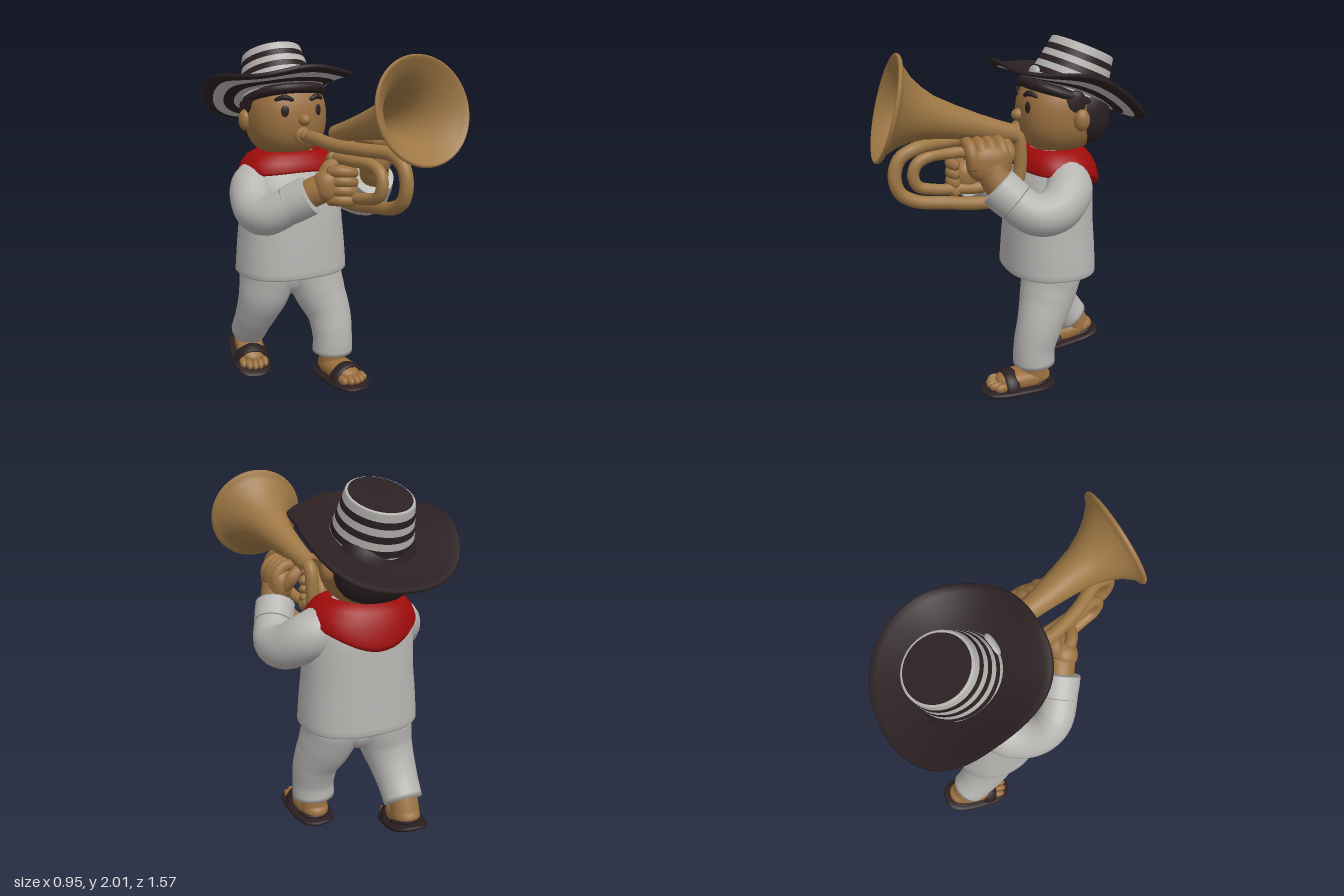
import * as THREE from 'three';
import { mergeVertices } from 'three/addons/utils/BufferGeometryUtils.js';

const material = (name, color, side = THREE.FrontSide) => {
  const m = new THREE.MeshStandardMaterial({ color, side });
  m.name = name;
  return m;
};
const V = (a) => new THREE.Vector3(...a);
// factor that turns a circle in the ground plane into a rounded square
const square = (v, p) => Math.hypot(v.x, v.z) / ((Math.abs(v.x) ** p + Math.abs(v.z) ** p) ** (1 / p) || 1);

export function createModel() {
  const cloth = material('white cloth', 0xb6b4b1, THREE.DoubleSide);
  const skin = material('skin', 0x9a7040);
  const brass = material('brass', 0x9e7744, THREE.DoubleSide);
  const dark = material('dark brown', 0x2b1f21, THREE.DoubleSide);
  const red = material('red scarf', 0x9e0b0b, THREE.DoubleSide);
  const model = new THREE.Group();

  const add = (parent, name, geo, mat, pos = [0, 0, 0]) => {
    const m = new THREE.Mesh(geo, mat);
    m.name = name;
    m.position.set(...pos);
    parent.add(m);
    return m;
  };
  // weld seams and smooth
  const smooth = (geo) => {
    geo.deleteAttribute('uv');
    geo.deleteAttribute('normal');
    const g = mergeVertices(geo, 1e-5);
    g.computeVertexNormals();
    return g;
  };
  const bend = (geo, rule) => {
    const p = geo.attributes.position, v = new THREE.Vector3();
    for (let i = 0; i < p.count; i++) {
      rule(v.fromBufferAttribute(p, i), i);
      p.setXYZ(i, v.x, v.y, v.z);
    }
    return geo;
  };
  // rounded, slightly boxy ellipsoid
  const blob = (parent, name, mat, pos, rad, p = 2.5) => {
    const geo = bend(new THREE.SphereGeometry(1, 32, 20), (v) => {
      const n = Math.pow(Math.abs(v.x) ** p + Math.abs(v.y) ** p + Math.abs(v.z) ** p, 1 / p);
      v.divideScalar(n).multiply(V(rad));
    });
    return add(parent, name, smooth(geo), mat, pos);
  };
  // tube of changing radius through [x, y, z, radius], closed at both ends
  const limb = (parent, name, mat, pts, seg = 28, radial = 20) => {
    const curve = new THREE.CatmullRomCurve3(pts.map((q) => new THREE.Vector3(q[0], q[1], q[2])));
    const geo = bend(new THREE.TubeGeometry(curve, seg, 1, radial), (v, k) => {
      const i = Math.floor(k / (radial + 1));
      const c = curve.getPointAt(i / seg);
      const t = curve.getUtoTmapping(i / seg) * (pts.length - 1);
      const a = Math.min(Math.floor(t), pts.length - 2);
      const r = THREE.MathUtils.lerp(pts[a][3], pts[a + 1][3], t - a);
      v.sub(c).multiplyScalar(i === 0 || i === seg ? 0.001 : r).add(c);
    });
    return add(parent, name, smooth(geo), mat);
  };
  const lathe = (pts, seg = 48) => new THREE.LatheGeometry(pts.map((q) => new THREE.Vector2(...q)), seg);

  // shirt, its chest sloping back towards the neck
  const shirt = bend(lathe([[0, .7], [.3, .69], [.322, .68], [.331, .69], [.33, .72], [.32, .85], [.305, 1], [.3, 1.15],
    [.285, 1.25], [.25, 1.32], [.19, 1.37], [.1, 1.4], [0, 1.4]]), (v) => {
    const s = square(v, 2.4);
    v.x *= s;
    v.z *= s * .79 * (v.z > 0 ? 1 - .35 * Math.max(0, (v.y - 1.1) / .3) : 1);
  });
  add(model, 'shirt', smooth(shirt), cloth, [-.04, 0, -.235]);

  // trousers
  blob(model, 'trouserSeat', cloth, [-.035, .67, -.255], [.13, .155, .135], 2.2);
  limb(model, 'leftTrouserLeg', cloth, [[.1, .74, -.225, .17], [.1, .65, -.21, .172], [.125, .53, -.175, .157],
    [.16, .4, -.125, .132], [.166, .26, -.09, .12], [.165, .14, -.09, .122]]);
  limb(model, 'rightTrouserLeg', cloth, [[-.17, .74, -.275, .17], [-.175, .65, -.28, .17], [-.195, .53, -.295, .152],
    [-.212, .42, -.345, .13], [-.22, .32, -.41, .115], [-.22, .22, -.49, .108]]);

  // sandalled feet
  const foot = (name, pos, pitch, yaw) => {
    const g = new THREE.Group();
    g.name = name;
    g.position.set(...pos);
    g.rotation.set(pitch, yaw, 0);
    model.add(g);
    blob(g, 'sole', dark, [0, .023, 0], [.117, .023, .22], 3);
    blob(g, 'footBody', skin, [0, .075, -.03], [.085, .055, .165]);
    limb(g, 'ankle', skin, [[0, .06, -.1, .08], [0, .12, -.095, .08], [0, .2, -.085, .08]], 12);
    for (let i = 0; i < 5; i++) {
      const x = -.068 + i * .034;
      blob(g, 'toe', skin, [x, .06, .15 - x * x * 6], [.021, .026, .042], 2);
    }
    const strap = new THREE.TorusGeometry(.083, .014, 10, 24, Math.PI).scale(1.12, 1.1, 2.9);
    add(g, 'strap', strap, dark, [0, .03, .06]);
    const heel = new THREE.TorusGeometry(.085, .011, 8, 24, Math.PI).rotateX(-Math.PI / 2);
    add(g, 'heelStrap', heel, dark, [0, .055, -.1]);
  };
  foot('leftFoot', [.168, 0, .01], 0, .06);
  foot('rightFoot', [-.235, .066, -.447], .31, -.2);

  // arms, cuffs and hands
  limb(model, 'leftSleeve', cloth, [[.14, 1.25, -.26, .13], [.25, 1.2, -.25, .13], [.34, 1.12, -.14, .122],
    [.36, 1.115, -.02, .112], [.315, 1.2, .1, .105], [.285, 1.26, .16, .103]]);
  limb(model, 'leftCuff', cloth, [[.33, 1.175, .07, .109], [.305, 1.22, .12, .112], [.28, 1.27, .17, .111]], 20);
  limb(model, 'rightSleeve', cloth, [[-.2, 1.25, -.25, .13], [-.29, 1.2, -.21, .13], [-.342, 1.1, -.08, .115],
    [-.325, 1.085, .04, .108], [-.23, 1.155, .14, .102], [-.16, 1.2, .19, .1]]);
  limb(model, 'rightCuff', cloth, [[-.24, 1.145, .125, .106], [-.19, 1.18, .165, .109], [-.14, 1.215, .205, .108]], 20);

  limb(model, 'leftWrist', skin, [[.3, 1.24, .13, .08], [.28, 1.3, .17, .082], [.26, 1.38, .2, .08]], 12);
  blob(model, 'leftPalm', skin, [.255, 1.385, .2], [.075, .1, .12]);
  limb(model, 'rightWrist', skin, [[-.18, 1.19, .17, .075], [-.12, 1.23, .21, .08], [-.06, 1.26, .25, .08]], 12);
  blob(model, 'rightPalm', skin, [-.05, 1.265, .26], [.1, .09, .075]);
  for (let i = 0; i < 4; i++) {
    const z = .12 + i * .055, y = 1.19 + i * .05;
    limb(model, 'leftFinger', skin, [[.285, 1.37 - i * .008, z, .03], [.28, 1.44, z + .012, .035],
      [.235, 1.485, z + .02, .034], [.17, 1.485, z + .025, .03]], 16, 12);
    limb(model, 'rightFinger', skin, [[-.08, y, .27, .03], [-.04, y + .005, .325, .034],
      [.02, y, .345, .032], [.06, y - .01, .31, .028]], 16, 12);
  }
  limb(model, 'leftThumb', skin, [[.25, 1.36, .12, .035], [.21, 1.43, .08, .037], [.16, 1.48, .09, .03]], 14, 12);
  limb(model, 'rightThumb', skin, [[-.08, 1.3, .22, .035], [-.04, 1.36, .22, .036], [.01, 1.37, .25, .03]], 14, 12);

  // neck scarf, hanging lower at the back and drawn in at the front
  const scarf = bend(lathe([[.24, .0], [.295, -.005], [.305, .01], [.285, .06], [.25, .1], [.2, .125], [.16, .12], [.12, .09]]), (v) => {
    const c = v.z / Math.hypot(v.x, v.z), s = square(v, 2.2);
    const drop = c < 0 ? 1 - .85 * c ** 3 : 1 - .15 * c ** 3;
    v.y = 1.4 - (.125 - v.y) * drop;
    v.x *= s;
    v.z *= s * (c < 0 ? .93 : .66);
  });
  add(model, 'scarf', smooth(scarf), red, [-.04, 0, -.235]);
  add(model, 'neck', new THREE.CylinderGeometry(.12, .13, .2, 28), skin, [-.04, 1.38, -.28]);

  // head
  const hx = -.045;
  blob(model, 'face', skin, [hx, 1.585, -.285], [.225, .225, .225]);
  blob(model, 'hair', dark, [hx, 1.59, -.405], [.216, .195, .168]);
  blob(model, 'fringe', dark, [hx, 1.695, -.29], [.226, .05, .228], 2.6).rotation.x = -.32;
  blob(model, 'nose', skin, [hx + .005, 1.58, -.058], [.035, .034, .042], 2);
  for (const s of [-1, 1]) {
    blob(model, 'ear', skin, [hx + s * .228, 1.567, -.345], [.036, .06, .045], 2);
    blob(model, 'sideburn', dark, [hx + s * .2, 1.655, -.315], [.028, .07, .06], 2.5);
    blob(model, 'eye', dark, [hx + s * .103, 1.63, -.079], [.023, .034, .008], 2).rotation.y = s * .32;
    limb(model, 'eyebrow', dark, [[hx + s * .05, 1.688, -.075, .01], [hx + s * .1, 1.707, -.088, .017],
      [hx + s * .15, 1.69, -.12, .009]], 14, 10);
  }
  add(model, 'lips', new THREE.TorusGeometry(.032, .017, 12, 24), skin, [hx - .01, 1.495, -.045]);

  // hat, tipped back, the sides of its brim turned up and the front corners drooping
  const hat = new THREE.Group();
  hat.name = 'hat';
  hat.position.set(-.055, 1.7, -.345);
  hat.rotation.x = -.38;
  model.add(hat);
  const brimPart = (name, mat, pts) => {
    const geo = bend(lathe(pts, 64), (v) => {
      const r = Math.hypot(v.x, v.z), s = square(v, 2.25);
      v.y += .1 * (v.x / .44) ** 2 * (1 - (v.z > 0 ? 2.3 : .9) * (v.z / .44) ** 2) + .012 * (r / .44) ** 6;
      v.x *= .945 * s;
      v.z *= 1.06 * s;
    });
    add(hat, name, smooth(geo), mat);
  };
  brimPart('brimTop', dark, [[.385, -.012], [.41, -.012], [.432, -.011], [.44, 0], [.432, .011], [.4, .012],
    [.34, .012], [.28, .012], [.23, .012], [.17, .012]]);
  [[.15, .215, dark], [.215, .265, cloth], [.265, .325, dark], [.325, .385, cloth]].forEach(([a, b, m]) =>
    brimPart('brimUnderRing', m, [[a, -.012], [(a + b) / 2, -.012], [b, -.012]]));
  // oval crown of alternating bands
  const crown = new THREE.Group();
  crown.name = 'crown';
  crown.scale.z = 1.08;
  hat.add(crown);
  let y = 0;
  [.04, .034, .036, .034, .036, .034, .036].forEach((h, i) => {
    const r = (q) => .218 - .046 * q / .25;
    add(crown, 'crownBand', new THREE.CylinderGeometry(r(y + h), r(y), h, 48, 1, true), i % 2 ? dark : cloth, [0, y + h / 2, 0]);
    y += h;
  });
  add(crown, 'crownRim', new THREE.TorusGeometry(.162, .01, 10, 48).rotateX(Math.PI / 2), cloth, [0, .248, 0]);
  add(crown, 'crownTop', new THREE.CylinderGeometry(.158, .162, .02, 48), dark, [0, .25, 0]);
  blob(crown, 'crownFrontPatch', cloth, [.02, .03, .21], [.06, .035, .018], 2.5);

  // horn bell, a thin double wall flaring to the mouth and drifting to one side
  const flare = [[.05, 0], [.058, .12], [.07, .24], [.09, .38], [.113, .5], [.145, .58], [.185, .645], [.232, .695], [.258, .712]];
  const wall = [...flare, [.27, .714], [.277, .724], [.274, .734], [.264, .737],
    ...flare.slice(1).reverse().map(([r, h]) => [r - .01, h + .006]), [.002, .1]];
  const bellShape = bend(lathe(wall, 64), (v) => { v.x += .1 * v.y; });
  const bell = add(model, 'hornBell', smooth(bellShape), brass, [.127, 1.5, .01]);
  bell.quaternion.setFromUnitVectors(new THREE.Vector3(0, 1, 0), V([0, .25, .97]).normalize());

  // horn tubing
  const pipe = (name, r, pts) => limb(model, name, brass, pts.map((q) => [...q, r]), 90, 14);
  pipe('outerLoop', .036, [[.135, 1.515, .06], [.132, 1.49, .005], [.13, 1.4, -.012], [.125, 1.25, .0], [.12, 1.15, .07],
    [.12, 1.135, .2], [.13, 1.155, .4], [.138, 1.18, .57], [.14, 1.23, .65], [.14, 1.32, .675], [.135, 1.41, .645],
    [.12, 1.455, .56], [.04, 1.465, .4], [-.012, 1.47, .23], [-.035, 1.49, .06], [-.05, 1.495, -.01]]);
  pipe('innerLoop', .032, [[.01, 1.4, .2], [.025, 1.4, .35], [.06, 1.395, .48], [.07, 1.36, .545], [.07, 1.3, .565],
    [.065, 1.24, .54], [.055, 1.215, .46], [.03, 1.2, .3], [.02, 1.2, .16], [.03, 1.25, .1], [.03, 1.33, .1], [.015, 1.39, .15], [.01, 1.4, .2]]);
  limb(model, 'mouthpiece', brass, [[-.053, 1.495, -.05, .036], [-.052, 1.495, -.015, .034], [-.045, 1.493, .03, .022]], 14);
  return model;
}
